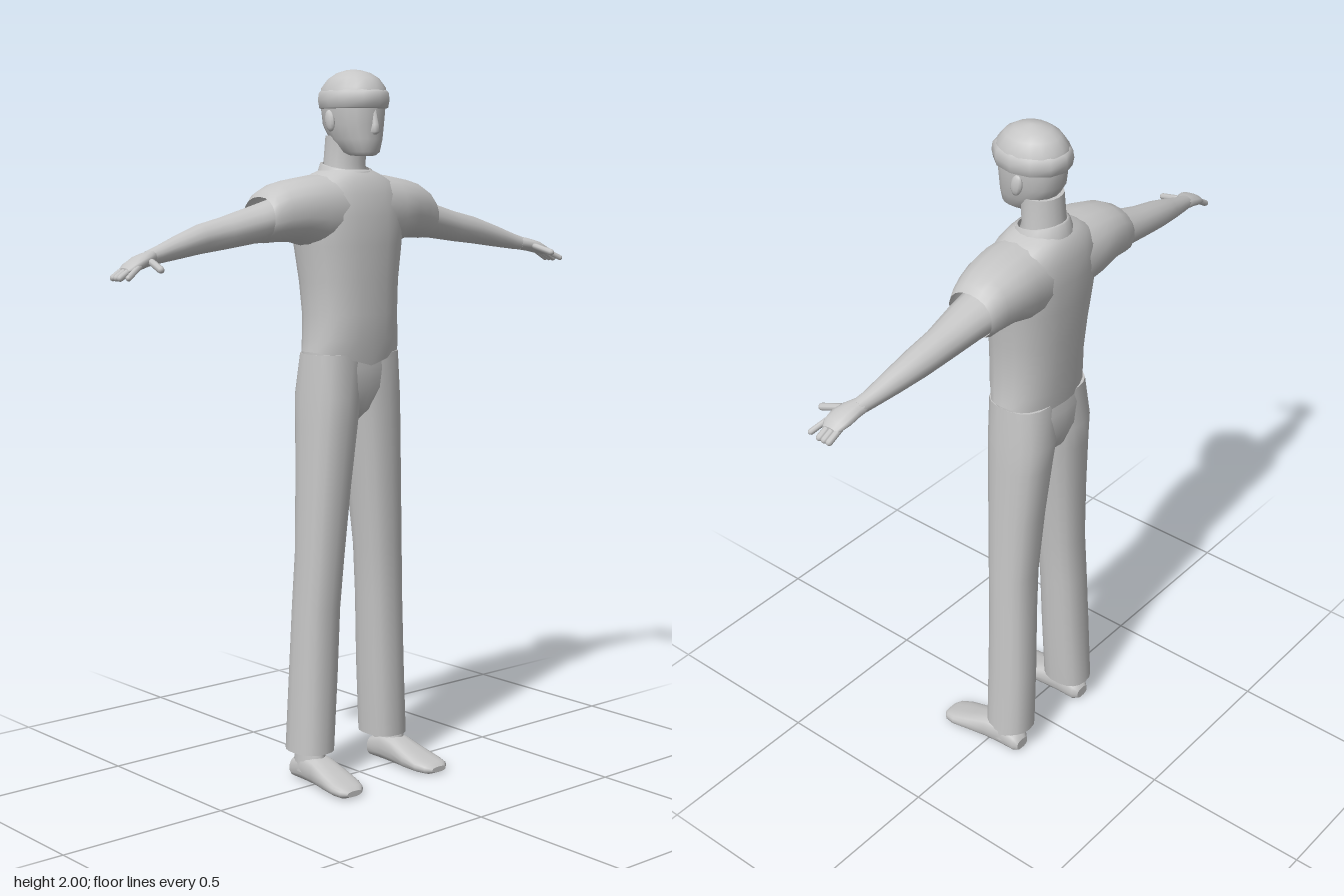
import * as THREE from 'three';

const cloth = new THREE.MeshStandardMaterial({ color: 0xc6c6c6, side: THREE.DoubleSide });
cloth.name = 'plain grey';

// Skins cross-sections along an axis. Each ring is [t, a0, a1, b0, b1], t rising, where
// (a, b) are (z, x) for axis y, (y, z) for axis x and (x, y) for axis z.
function loft(name, axis, rings, { side = 1, seg = 18, power = 1, caps = true, warp } = {}) {
  const order = { x: [0, 1, 2], y: [1, 2, 0], z: [2, 0, 1] }[axis];
  const pos = [], index = [];
  const put = (t, a, b) => {
    const p = [0, 0, 0];
    [t, a, b].forEach((v, k) => { p[order[k]] = v; });
    if (warp) warp(p);
    pos.push(p[0] * side, p[1], p[2]);
    return pos.length / 3 - 1;
  };
  const face = (a, b, c) => (side > 0 ? index.push(a, b, c) : index.push(a, c, b));
  const round = (v) => Math.sign(v) * Math.abs(v) ** power;
  const putRing = ([t, a0, a1, b0, b1]) => {
    const start = pos.length / 3;
    for (let j = 0; j < seg; j++) {
      const g = (j / seg) * Math.PI * 2;
      put(t, (a0 + a1) / 2 + ((a1 - a0) / 2) * round(Math.cos(g)),
        (b0 + b1) / 2 + ((b1 - b0) / 2) * round(Math.sin(g)));
    }
    return start;
  };
  const starts = rings.map(putRing);
  for (let i = 0; i + 1 < starts.length; i++) {
    for (let j = 0; j < seg; j++) {
      const k = (j + 1) % seg, s = starts[i], e = starts[i + 1];
      face(s + j, s + k, e + k);
      face(s + j, e + k, e + j);
    }
  }
  if (caps) {
    [rings[0], rings[rings.length - 1]].forEach((r, end) => {
      const s = putRing(r);
      const c = put(r[0], (r[1] + r[2]) / 2, (r[3] + r[4]) / 2);
      for (let j = 0; j < seg; j++) {
        const k = (j + 1) % seg;
        if (end) face(c, s + j, s + k); else face(c, s + k, s + j);
      }
    });
  }
  const geo = new THREE.BufferGeometry();
  geo.setAttribute('position', new THREE.Float32BufferAttribute(pos, 3));
  geo.setIndex(index);
  geo.computeVertexNormals();
  const mesh = new THREE.Mesh(geo, cloth);
  mesh.name = name;
  return mesh;
}

// Upright loft centred on x = 0: rings are [y, half width, back z, front z]
const upright = (name, rings, options) =>
  loft(name, 'y', rings.map(([y, w, zb, zf]) => [y, zb, zf, -w, w]), options);

// Rounded finger between two points
function finger(name, from, to, radius, side) {
  const a = new THREE.Vector3(...from), b = new THREE.Vector3(...to);
  a.x *= side;
  b.x *= side;
  const dir = b.clone().sub(a);
  const mesh = new THREE.Mesh(new THREE.CapsuleGeometry(radius, dir.length() - radius, 3, 8), cloth);
  mesh.position.copy(a).add(b).multiplyScalar(0.5);
  mesh.quaternion.setFromUnitVectors(new THREE.Vector3(0, 1, 0), dir.normalize());
  mesh.name = name;
  return mesh;
}

function buildHead() {
  const head = new THREE.Group();
  head.name = 'head';
  head.add(
    upright('neck', [[1.68, 0.072, -0.13, 0.01], [1.74, 0.062, -0.12, -0.008], [1.82, 0.06, -0.112, 0]]),
    upright('face', [
      [1.765, 0.03, -0.02, 0.05], [1.775, 0.045, -0.055, 0.063], [1.81, 0.062, -0.095, 0.066],
      [1.85, 0.073, -0.118, 0.066], [1.9, 0.08, -0.122, 0.068], [1.95, 0.078, -0.115, 0.06],
    ], { power: 0.9 }),
    upright('nose', [
      [1.822, 0.008, 0.04, 0.068], [1.83, 0.015, 0.04, 0.084],
      [1.85, 0.011, 0.04, 0.078], [1.89, 0.008, 0.04, 0.068],
    ], { seg: 8 }),
    upright('capDome', [
      [1.92, 0.087, -0.128, 0.078], [1.95, 0.083, -0.123, 0.072], [1.975, 0.066, -0.102, 0.052],
      [1.99, 0.045, -0.076, 0.026], [1.998, 0.02, -0.046, -0.004], [2, 0.004, -0.029, -0.021],
    ]),
    upright('capBand', [
      [1.893, 0.084, -0.124, 0.074], [1.896, 0.09, -0.133, 0.083], [1.917, 0.094, -0.137, 0.087],
      [1.937, 0.091, -0.134, 0.084], [1.943, 0.083, -0.124, 0.074],
    ], { seg: 12 }),
  );
  for (const side of [1, -1]) {
    const ear = new THREE.Mesh(new THREE.SphereGeometry(1, 10, 8), cloth);
    ear.scale.set(0.01, 0.03, 0.018);
    ear.position.set(0.077 * side, 1.86, -0.035);
    ear.rotation.x = -0.2;
    ear.name = 'ear';
    head.add(ear);
  }
  return head;
}

function buildShirt() {
  const shirt = new THREE.Group();
  shirt.name = 'shirt';
  // Hem dips to a shallow point at the middle
  const hem = (p) => { if (p[1] < 1.22) p[1] += 0.04 * Math.abs(p[0]) / 0.15; };
  shirt.add(
    upright('shirtBody', [
      [1.187, 0.151, -0.136, 0.052], [1.26, 0.146, -0.142, 0.061], [1.33, 0.142, -0.147, 0.065],
      [1.42, 0.148, -0.155, 0.064], [1.52, 0.163, -0.164, 0.066], [1.6, 0.175, -0.168, 0.062],
      [1.66, 0.17, -0.164, 0.05], [1.695, 0.14, -0.152, 0.034], [1.715, 0.1, -0.14, 0.02],
      [1.728, 0.068, -0.125, 0.005],
    ], { power: 0.85, caps: false, seg: 24, warp: hem }),
    upright('collar', [[1.7, 0.084, -0.14, 0.028], [1.735, 0.073, -0.13, 0.016], [1.737, 0.066, -0.122, 0.006]],
      { caps: false, warp: (p) => { p[1] -= (p[2] + 0.055) * 0.2; } }),
  );
  for (const side of [1, -1]) {
    shirt.add(loft('sleeve', 'x', [
      [0.06, 1.5, 1.715, -0.158, 0.05], [0.14, 1.515, 1.712, -0.165, 0.048],
      [0.2, 1.532, 1.702, -0.16, 0.036], [0.25, 1.532, 1.69, -0.152, 0.022],
      [0.285, 1.53, 1.672, -0.146, 0.011], [0.3, 1.535, 1.655, -0.138, 0.004],
    ], { side, caps: false, power: 0.9 }));
  }
  return shirt;
}

function buildArm(side) {
  const arm = new THREE.Group();
  arm.name = side > 0 ? 'leftArm' : 'rightArm';
  arm.add(
    loft('armSkin', 'x', [
      [0.24, 1.535, 1.655, -0.135, 0], [0.32, 1.53, 1.633, -0.126, -0.004],
      [0.42, 1.517, 1.606, -0.112, -0.018], [0.5, 1.508, 1.588, -0.103, -0.02],
      [0.58, 1.497, 1.561, -0.085, -0.02], [0.65, 1.488, 1.535, -0.067, -0.019],
      [0.69, 1.484, 1.522, -0.058, -0.014],
    ], { side, seg: 14 }),
    loft('palm', 'x', [
      [0.67, 1.486, 1.526, -0.061, -0.016], [0.7, 1.481, 1.52, -0.06, 0.002],
      [0.73, 1.474, 1.511, -0.06, 0.012], [0.755, 1.47, 1.497, -0.054, 0.012],
      [0.77, 1.468, 1.483, -0.045, 0.002],
    ], { side, seg: 12 }),
    finger('thumb', [0.7, 1.497, 0], [0.713, 1.478, 0.064], 0.0095, side),
    finger('indexFinger', [0.735, 1.488, 0.002], [0.79, 1.458, 0.027], 0.008, side),
  );
  for (const z of [-0.042, -0.026, -0.01]) {
    arm.add(finger('finger', [0.745, 1.485, z], [0.794, 1.456, z + 0.004], 0.009, side));
  }
  return arm;
}

function buildLeg(side) {
  const leg = new THREE.Group();
  leg.name = side > 0 ? 'leftLeg' : 'rightLeg';
  leg.add(
    loft('trouserLeg', 'y', [
      [0.085, -0.13, 0.015, 0.077, 0.2], [0.3, -0.126, 0.016, 0.064, 0.19],
      [0.5, -0.12, 0.017, 0.055, 0.182], [0.65, -0.117, 0.024, 0.044, 0.174],
      [0.85, -0.127, 0.033, 0.023, 0.166], [1.02, -0.14, 0.042, 0.002, 0.159],
      [1.1, -0.147, 0.045, -0.008, 0.156], [1.22, -0.134, 0.046, -0.03, 0.148],
    ], { side, power: 0.85 }),
    loft('ankle', 'y', [[0.03, -0.1, 0.02, 0.113, 0.188], [0.13, -0.095, 0.005, 0.12, 0.182]], { side }),
    // Foot, turned slightly outward
    loft('foot', 'z', [
      [-0.11, 0.125, 0.172, 0.006, 0.04], [-0.095, 0.112, 0.182, 0, 0.06],
      [-0.04, 0.108, 0.188, 0, 0.083], [0.01, 0.105, 0.193, 0, 0.077],
      [0.07, 0.101, 0.203, 0, 0.055], [0.12, 0.105, 0.209, 0, 0.039],
      [0.15, 0.117, 0.203, 0, 0.032], [0.165, 0.135, 0.187, 0.006, 0.022],
    ], { side, power: 0.75 }),
  );
  return leg;
}

export function createModel() {
  const model = new THREE.Group();
  model.name = 'standingMan';
  model.add(buildHead(), buildShirt());
  // Hips bridging the two trouser legs
  model.add(upright('hips', [
    [1.03, 0.02, -0.09, -0.01], [1.06, 0.07, -0.125, 0.022],
    [1.12, 0.14, -0.144, 0.044], [1.18, 0.15, -0.142, 0.047], [1.23, 0.148, -0.134, 0.046],
  ], { power: 0.85 }));
  for (const side of [1, -1]) model.add(buildArm(side), buildLeg(side));
  return model;
}
